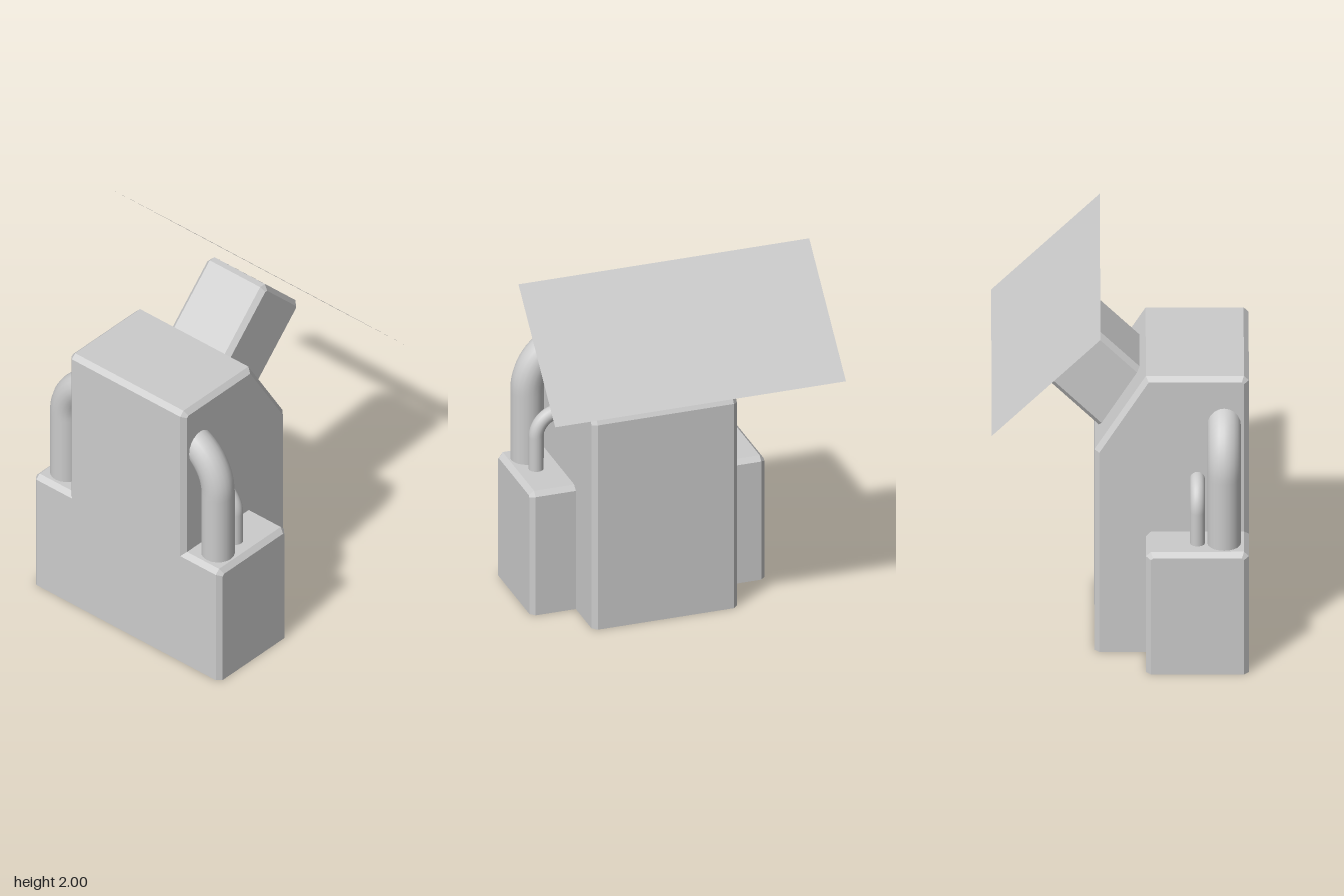
import * as THREE from 'three';

const CH = 0.025; // chamfer size

export function createModel() {
  const group = new THREE.Group();
  const mat = new THREE.MeshStandardMaterial({ color: 0xcccccc });
  const add = (name, geo, material = mat) => {
    const mesh = new THREE.Mesh(geo, material);
    mesh.name = name;
    group.add(mesh);
  };

  // Chamfered block from a side profile of [z, y, cut?] corners, spanning -halfWidth..halfWidth in x
  const block = (corners, halfWidth) => {
    const pts = [];
    corners.forEach(([z, y, cut], i) => {
      const p = new THREE.Vector2(z, y);
      if (!cut) return pts.push(p);
      for (const j of [i - 1, i + 1]) {
        const n = corners[(j + corners.length) % corners.length];
        const dir = new THREE.Vector2(n[0], n[1]).sub(p).normalize();
        pts.push(p.clone().addScaledVector(dir, CH));
      }
    });
    const geo = new THREE.ExtrudeGeometry(new THREE.Shape(pts), {
      depth: 2 * (halfWidth - CH), bevelEnabled: true, bevelSegments: 1,
      bevelThickness: CH, bevelSize: CH, bevelOffset: -CH, curveSegments: 1,
    });
    geo.translate(0, 0, -(halfWidth - CH)).rotateY(-Math.PI / 2);
    // keep the foot square: drop the lowest ring to the ground
    const pos = geo.attributes.position;
    for (let i = 0; i < pos.count; i++) if (pos.getY(i) < CH + 0.005) pos.setY(i, 0);
    geo.computeVertexNormals();
    return geo;
  };

  // Main cabinet with sloping rear shoulder
  add('body', block([[-0.13, 0], [0.65, 0], [0.65, 1.57, true], [0.13, 1.57], [-0.13, 1.15]], 0.39));

  // Wide lower housing showing on both sides of the cabinet
  add('sideHousings', block([[0.13, 0], [0.65, 0], [0.65, 0.69, true], [0.13, 0.69, true]], 0.63));

  // Tilted neck, laid out along the two 45 degree diagonals u = y + z and v = y - z
  const diag = (u, v, cut) => [(u - v) / 2, (u + v) / 2, cut];
  add('neck', block([diag(1.08, 1.1), diag(1.619, 1.1), diag(1.619, 2.016, true), diag(1.08, 2.016, true)], 0.195));

  // Thin tilted panel floating above the neck
  const panel = new THREE.PlaneGeometry(1.56, 0.55 * Math.SQRT2);
  panel.rotateX(-0.75 * Math.PI).translate(0, 1.725, -0.375);
  add('panel', panel, new THREE.MeshStandardMaterial({ color: 0xcccccc, side: THREE.DoubleSide }));

  // Elbow pipes from the housings into the cabinet sides
  const pipe = (side, z, radius, bendY, bend) => {
    const v = (x, y) => new THREE.Vector3(side * x, y, z);
    const x = 0.51, k = 0.552 * bend, top = bendY + bend;
    const path = new THREE.CurvePath();
    path.add(new THREE.LineCurve3(v(x, 0.64), v(x, bendY)));
    path.add(new THREE.CubicBezierCurve3(v(x, bendY), v(x, bendY + k), v(x - bend + k, top), v(x - bend, top)));
    path.add(new THREE.LineCurve3(v(x - bend, top), v(x - bend - 0.06, top)));
    return new THREE.TubeGeometry(path, 32, radius, 20);
  };
  for (const [side, label] of [[1, 'left'], [-1, 'right']]) {
    add(label + 'LargePipe', pipe(side, 0.525, 0.085, 1.08, 0.26));
    add(label + 'SmallPipe', pipe(side, 0.39, 0.038, 0.87, 0.125));
  }

  return group;
}
